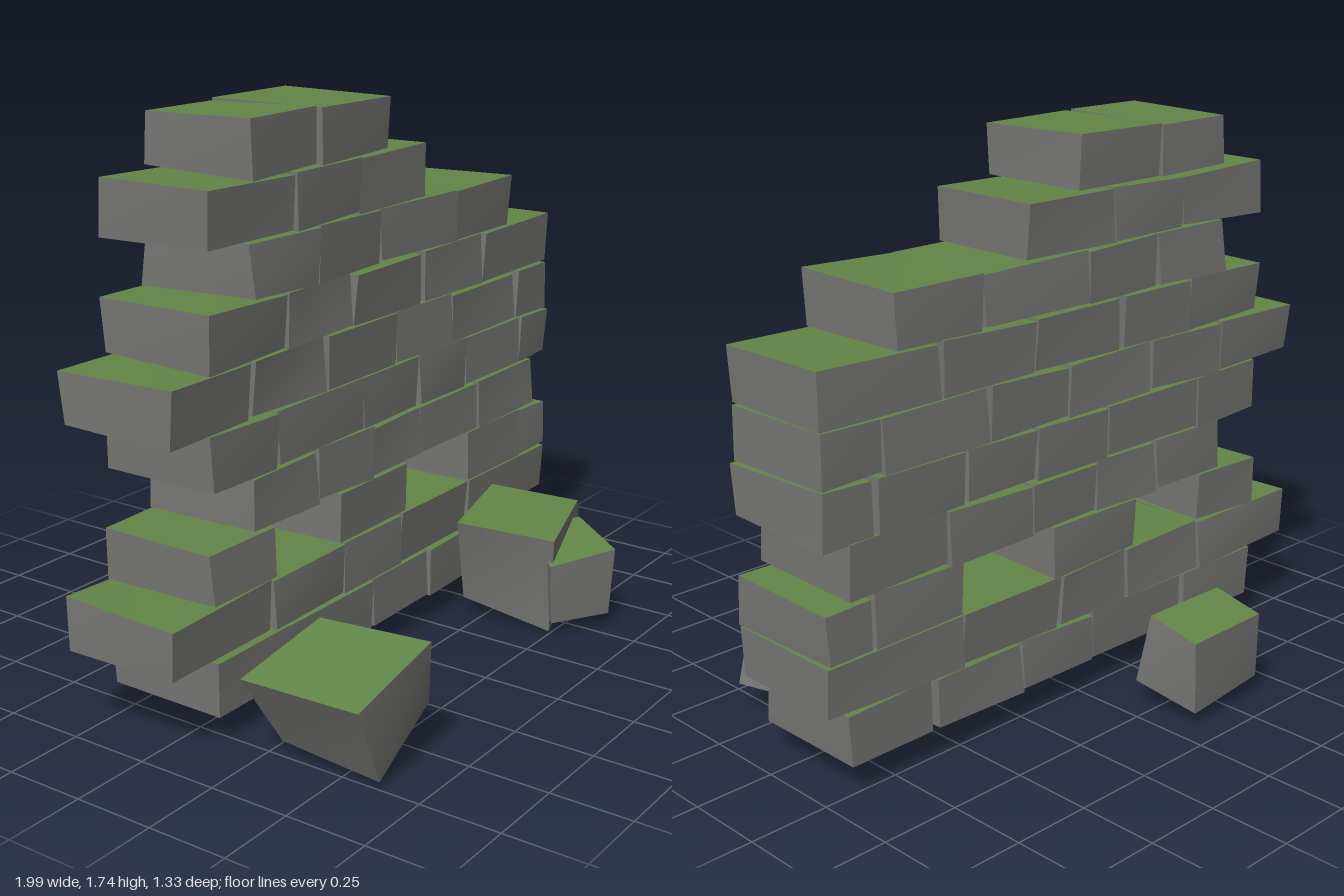
import * as THREE from 'three';

const stone = new THREE.MeshStandardMaterial({ color: 0x767674 });
stone.name = 'grey stone';
const moss = new THREE.MeshStandardMaterial({ color: 0x638547 });
moss.name = 'moss green';

// Small seeded generator for the uneven brick corners
let seed = 7;
function jitter(amount) {
  seed = (seed * 16807) % 2147483647;
  return (seed / 2147483647 - 0.5) * 2 * amount;
}

// Six-sided block from eight corners; the top face is mossy.
// Corners: top then bottom, each back left, back right, front right, front left (by -x / +x).
function block(name, corners) {
  const geometry = new THREE.BoxGeometry(1, 1, 1);
  const p = geometry.attributes.position;
  for (let i = 0; i < p.count; i++) {
    const right = p.getX(i) > 0, top = p.getY(i) > 0, front = p.getZ(i) > 0;
    const k = (top ? 0 : 4) + (front ? (right ? 2 : 3) : (right ? 1 : 0));
    p.setXYZ(i, ...corners[k]);
  }
  geometry.computeVertexNormals();
  const mesh = new THREE.Mesh(geometry, [stone, stone, moss, stone, stone, stone]);
  mesh.name = name;
  return mesh;
}

// Brick courses from the bottom up: [left, right] extents in x
const courses = [
  [[-0.81, -0.48], [-0.47, -0.06], [-0.05, 0.25], [0.26, 0.6], [0.61, 0.92]],
  [[-0.99, -0.56], [-0.55, -0.21], [-0.2, 0.09], [0.1, 0.49], [0.5, 0.99]],
  [[-0.82, -0.55], [-0.24, 0.12], [0.49, 0.82], [0.83, 0.99]],
  [[-0.64, -0.34], [-0.33, -0.06], [-0.06, 0.21], [0.22, 0.54], [0.55, 0.91]],
  [[-0.82, -0.53], [-0.52, -0.11], [-0.1, 0.19], [0.2, 0.47], [0.48, 0.8], [0.82, 0.99]],
  [[-0.98, -0.64], [-0.63, -0.3], [-0.29, 0.06], [0.07, 0.38], [0.39, 0.77], [0.78, 0.98]],
  [[-0.81, -0.48], [-0.47, -0.17], [-0.15, 0.2], [0.21, 0.56], [0.58, 0.99]],
  [[-0.63, -0.33], [-0.32, -0.02], [-0.01, 0.4], [0.41, 0.72]],
  [[-0.81, -0.44], [-0.43, -0.13], [-0.13, 0.23]],
  [[-0.62, -0.33], [-0.32, 0.02]],
];

// Fallen blocks, corner by corner
const fallen = {
  fallenBlockLeft: [
    [-0.86, 0.26, 0.24], [-0.55, 0.34, 0.28], [-0.56, 0.37, 0.66], [-0.86, 0.27, 0.63],
    [-0.74, 0.04, 0.29], [-0.5, 0.16, 0.25], [-0.49, 0.15, 0.61], [-0.76, 0.03, 0.63],
  ],
  fallenBlockRight: [
    [0.29, 0.35, 0.21], [0.64, 0.365, 0.13], [0.75, 0.33, 0.4], [0.39, 0.32, 0.51],
    [0.37, 0.06, 0.19], [0.68, 0.05, 0.11], [0.83, 0.09, 0.38], [0.41, 0, 0.49],
  ],
  fallenBlockSmall: [
    [0.55, 0.29, 0.33], [0.71, 0.29, 0.43], [0.56, 0.27, 0.64], [0.37, 0.24, 0.51],
    [0.55, 0.09, 0.33], [0.74, 0.11, 0.43], [0.57, 0.04, 0.62], [0.39, 0.04, 0.51],
  ],
  fallenBlockBack: [
    [-0.36, 0.28, -0.67], [-0.07, 0.27, -0.66], [-0.1, 0.29, -0.46], [-0.39, 0.3, -0.48],
    [-0.38, 0.06, -0.65], [-0.08, 0.04, -0.66], [-0.06, 0.08, -0.44], [-0.38, 0.09, -0.45],
  ],
};

export function createModel() {
  seed = 7;
  const model = new THREE.Group();
  model.name = 'ruinedWall';

  // Standing wall
  const wall = new THREE.Group();
  wall.name = 'brickWall';
  courses.forEach((course, row) => {
    const y0 = 0.092 + row * 0.165, y1 = y0 + 0.157;
    course.forEach(([x0, x1], i) => {
      const corners = [];
      for (const y of [y1, y0]) {
        for (const [x, z] of [[x0, -0.265], [x1, -0.265], [x1, 0.12], [x0, 0.12]]) {
          corners.push([x + jitter(0.007), y + jitter(0.007), z + jitter(0.01)]);
        }
      }
      wall.add(block(`brickRow${row + 1}Number${i + 1}`, corners));
    });
  });
  model.add(wall);

  // Rubble around the foot
  const rubble = new THREE.Group();
  rubble.name = 'fallenBlocks';
  for (const [name, corners] of Object.entries(fallen)) rubble.add(block(name, corners));
  model.add(rubble);
  return model;
}
